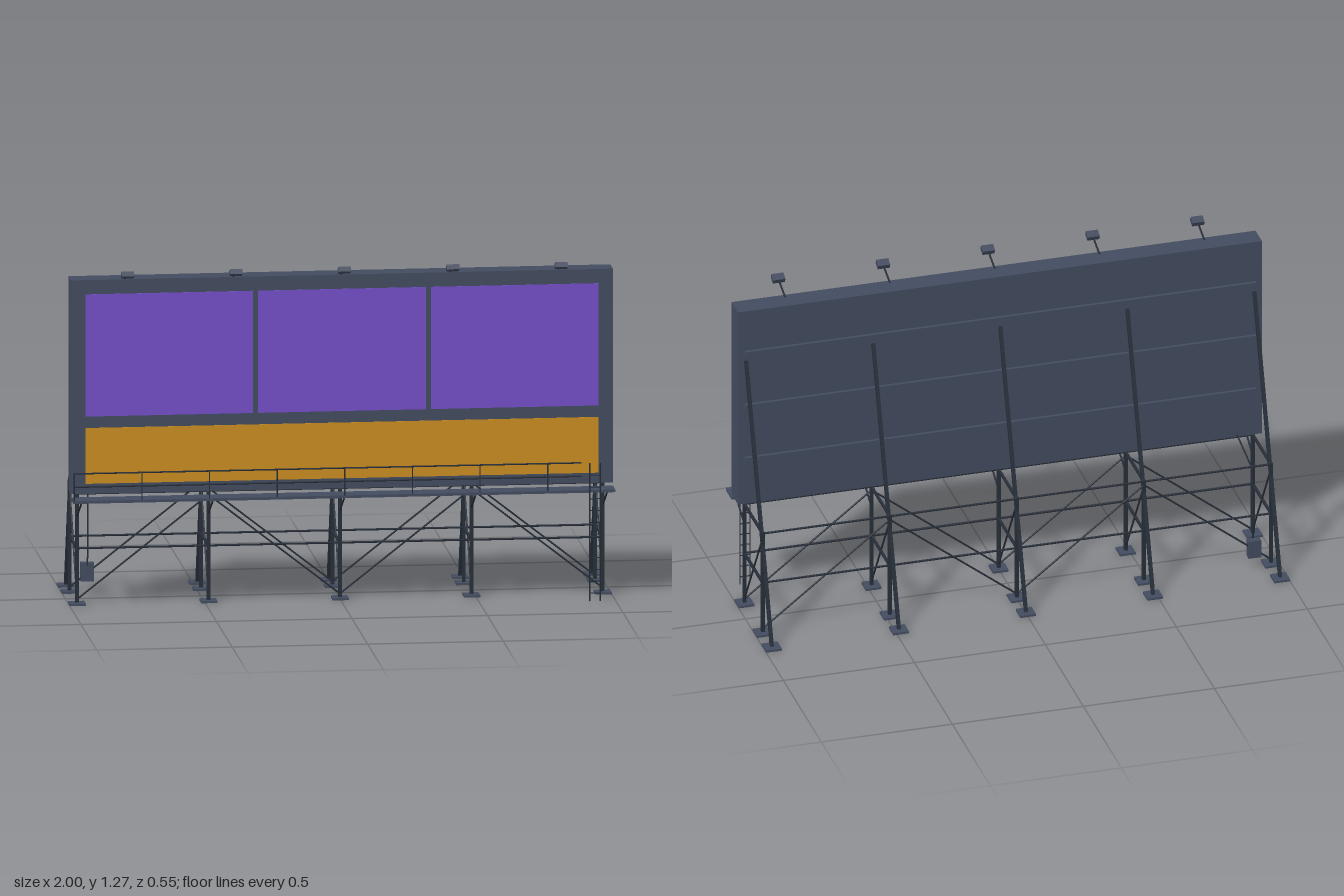
import * as THREE from 'three';

const mat = (name, color) => {
  const m = new THREE.MeshStandardMaterial({ color });
  m.name = name;
  return m;
};

export function createModel() {
  const slate = mat('slate', 0x434c5f);
  const steel = mat('dark steel', 0x282f3a);
  const purple = mat('purple panel', 0x7450ca);
  const amber = mat('amber panel', 0xcc8f22);

  const root = new THREE.Group();
  root.name = 'billboard';
  const group = (name) => {
    const g = new THREE.Group();
    g.name = name;
    root.add(g);
    return g;
  };
  // Box given by its size and centre
  const box = (parent, name, m, [w, h, d], [x, y, z]) => {
    const mesh = new THREE.Mesh(new THREE.BoxGeometry(w, h, d), m);
    mesh.name = name;
    mesh.position.set(x, y, z);
    parent.add(mesh);
    return mesh;
  };
  // Bar between two points: square section, or round when sides are given
  const bar = (parent, name, from, to, t, sides = 0, m = steel) => {
    const a = new THREE.Vector3(...from), b = new THREE.Vector3(...to);
    const dir = b.clone().sub(a), len = dir.length();
    const geo = sides
      ? new THREE.CylinderGeometry(t / 2, t / 2, len, sides)
      : new THREE.BoxGeometry(t, len, t);
    const mesh = new THREE.Mesh(geo, m);
    mesh.name = name;
    mesh.position.copy(a).add(b).multiplyScalar(0.5);
    mesh.quaternion.setFromUnitVectors(new THREE.Vector3(0, 1, 0), dir.normalize());
    parent.add(mesh);
    return mesh;
  };

  const columns = [-0.97, -0.485, 0, 0.485, 0.97];
  const zFront = 0.115, zBack = -0.125, zFoot = -0.245;

  // Display board with thin coloured panels
  const board = group('board');
  box(board, 'boardBody', slate, [2, 0.798, 0.085], [0, 0.824, 0.139]);
  const panel = (name, m, x0, x1, y0, y1) =>
    box(board, name, m, [x1 - x0, y1 - y0, 0.004], [(x0 + x1) / 2, (y0 + y1) / 2, 0.182]);
  panel('leftPanel', purple, -0.947, -0.329, 0.714, 1.17);
  panel('centrePanel', purple, -0.309, 0.309, 0.714, 1.17);
  panel('rightPanel', purple, 0.329, 0.947, 0.714, 1.17);
  panel('lowerPanel', amber, -0.947, 0.947, 0.463, 0.671);
  for (const y of [0.61, 0.83, 1.05]) {
    box(board, 'backRail', slate, [1.95, 0.02, 0.014], [0, y, 0.091]);
  }

  // Supporting frames: legs, raking props, side bracing and foot plates
  const frames = group('supportFrames');
  for (const x of columns) {
    bar(frames, 'frontLeg', [x, 0, zFront], [x, 0.425, zFront], 0.013);
    bar(frames, 'backLeg', [x, 0, zBack], [x, 0.42, zBack], 0.013);
    bar(frames, 'rakingProp', [x, 1.02, 0.093], [x, 0.005, zFoot], 0.013);
    for (const z of [zFront, zBack, zFoot]) {
      box(frames, 'footPlate', slate, [0.06, 0.008, 0.06], [x, 0.004, z]);
    }
    for (const y of [0.21, 0.414]) {
      bar(frames, 'crossBeam', [x, y, zFront], [x, y, zBack], 0.009);
    }
    bar(frames, 'sideBrace', [x, 0.02, zFront], [x, 0.395, zBack], 0.007, 6);
    bar(frames, 'walkwayBracket', [x, 0.33, zFront], [x, 0.404, 0.255], 0.007, 6);
  }

  // Long rails and zigzag bracing along both rows of legs
  const bracing = group('longBracing');
  for (const z of [zFront, zBack]) {
    for (const y of [0.21, 0.414]) {
      bar(bracing, 'longRail', [-0.97, y, z], [0.97, y, z], 0.008, 6);
    }
    for (let i = 0; i < 4; i++) {
      const [y0, y1] = i % 2 ? [0.4, 0.02] : [0.02, 0.4];
      bar(bracing, 'zigzagBrace', [columns[i], y0, z], [columns[i + 1], y1, z], 0.007, 6);
    }
  }

  // Walkway and its guard rail
  const walkway = group('walkway');
  box(walkway, 'walkwayDeck', slate, [2, 0.01, 0.077], [0, 0.408, 0.219]);
  for (const y of [0.465, 0.515]) {
    bar(walkway, 'guardRail', [-0.998, y, 0.255], [0.875, y, 0.255], 0.006, 6);
  }
  for (let i = 0; i < 8; i++) {
    const x = -0.996 + i * 0.2495;
    bar(walkway, 'guardPost', [x, 0.41, 0.255], [x, 0.515, 0.255], 0.005, 6);
  }

  // Access ladder
  const ladder = group('ladder');
  for (const x of [0.905, 0.943]) {
    bar(ladder, 'ladderStile', [x, 0, 0.266], [x, 0.515, 0.266], 0.005, 6);
  }
  for (let y = 0.03; y < 0.5; y += 0.044) {
    bar(ladder, 'ladderRung', [0.905, y, 0.266], [0.943, y, 0.266], 0.004, 6);
  }

  // Lamps on arms along the top edge
  const lamps = group('lamps');
  for (const x of [-0.8, -0.4, 0, 0.4, 0.8]) {
    bar(lamps, 'lampArm', [x, 1.22, 0.16], [x, 1.25, 0.25], 0.007, 6);
    box(lamps, 'lampHead', slate, [0.046, 0.019, 0.03], [x, 1.254, 0.258]).rotation.x = -0.45;
  }

  // Power box and its conduit
  const power = group('powerSupply');
  box(power, 'powerBox', slate, [0.048, 0.07, 0.028], [-0.905, 0.076, -0.125]);
  bar(power, 'conduit', [-0.905, 0.1, -0.113], [-0.905, 0.393, -0.106], 0.006, 6);
  bar(power, 'conduit', [-0.905, 0.393, -0.106], [-0.905, 0.432, 0.098], 0.006, 6);

  return root;
}
